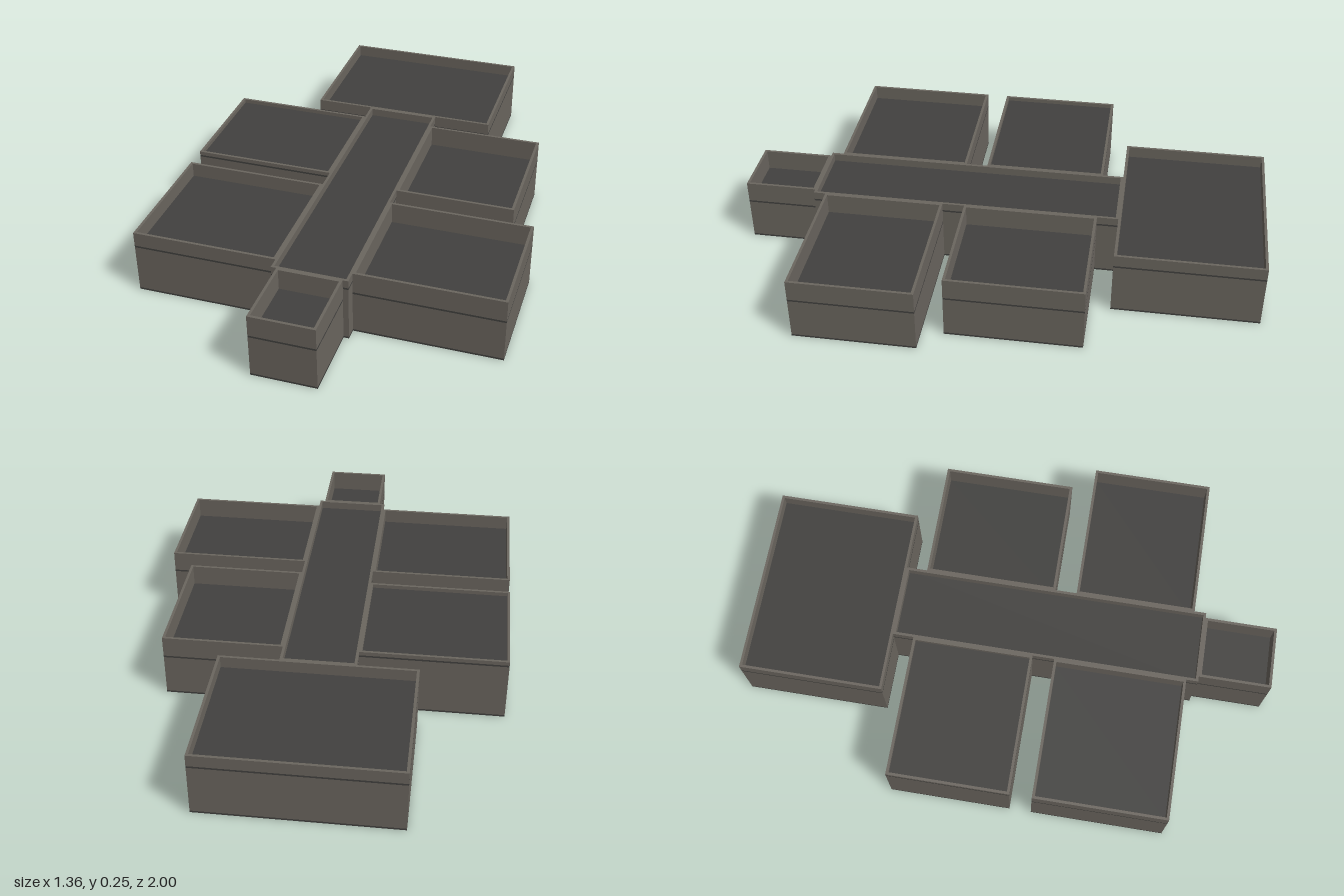
import * as THREE from 'three';

const HEIGHT = 0.25;    // top of every parapet
const SLAB = 0.007;     // floor and roof slab thickness
const RIM = 0.01;       // parapet thickness

const wallMaterial = new THREE.MeshStandardMaterial({ color: 0x6b665f });
const slabMaterial = new THREE.MeshStandardMaterial({ color: 0x42413f });

// name, x range, z range, roof level
const blocks = [
  ['backHall', -0.365, 0.365, -1, -0.45, 0.205],
  ['corridor', -0.14, 0.14, -0.45, 0.725, 0.22],
  ['entrance', -0.12, 0.12, 0.725, 1, 0.17],
  ['rightRearRoom', -0.683, -0.14, -0.37, 0.092, 0.235],
  ['rightFrontRoom', -0.683, -0.14, 0.175, 0.68, 0.195],
  ['leftRearRoom', 0.14, 0.59, -0.37, 0.137, 0.17],
  ['leftFrontRoom', 0.14, 0.68, 0.22, 0.68, 0.17],
];

function addBox(group, name, w, d, y0, y1, material) {
  const mesh = new THREE.Mesh(new THREE.BoxGeometry(w, y1 - y0, d), material);
  mesh.position.y = (y0 + y1) / 2;
  mesh.name = name;
  group.add(mesh);
}

// Rectangle outline, usable as a shape or as a hole
function rectangle(PathType, w, d) {
  const path = new PathType();
  path.moveTo(-w / 2, -d / 2);
  path.lineTo(w / 2, -d / 2);
  path.lineTo(w / 2, d / 2);
  path.lineTo(-w / 2, d / 2);
  path.closePath();
  return path;
}

function makeBlock([name, x0, x1, z0, z1, roof]) {
  const w = x1 - x0, d = z1 - z0;
  const block = new THREE.Group();
  block.name = name;
  block.position.set((x0 + x1) / 2, 0, (z0 + z1) / 2);

  addBox(block, 'floorSlab', w, d, 0, SLAB, slabMaterial);
  addBox(block, 'walls', w, d, SLAB, roof - SLAB, wallMaterial);
  addBox(block, 'roofSlab', w, d, roof - SLAB, roof, slabMaterial);

  // Parapet: a rectangular ring standing on the roof edge
  const ring = rectangle(THREE.Shape, w, d);
  ring.holes.push(rectangle(THREE.Path, w - 2 * RIM, d - 2 * RIM));
  const geometry = new THREE.ExtrudeGeometry(ring, { depth: HEIGHT - roof, bevelEnabled: false });
  geometry.rotateX(-Math.PI / 2);
  const parapet = new THREE.Mesh(geometry, wallMaterial);
  parapet.position.y = roof;
  parapet.name = 'parapet';
  block.add(parapet);
  return block;
}

export function createModel() {
  const model = new THREE.Group();
  model.name = 'building';
  for (const spec of blocks) model.add(makeBlock(spec));
  return model;
}
